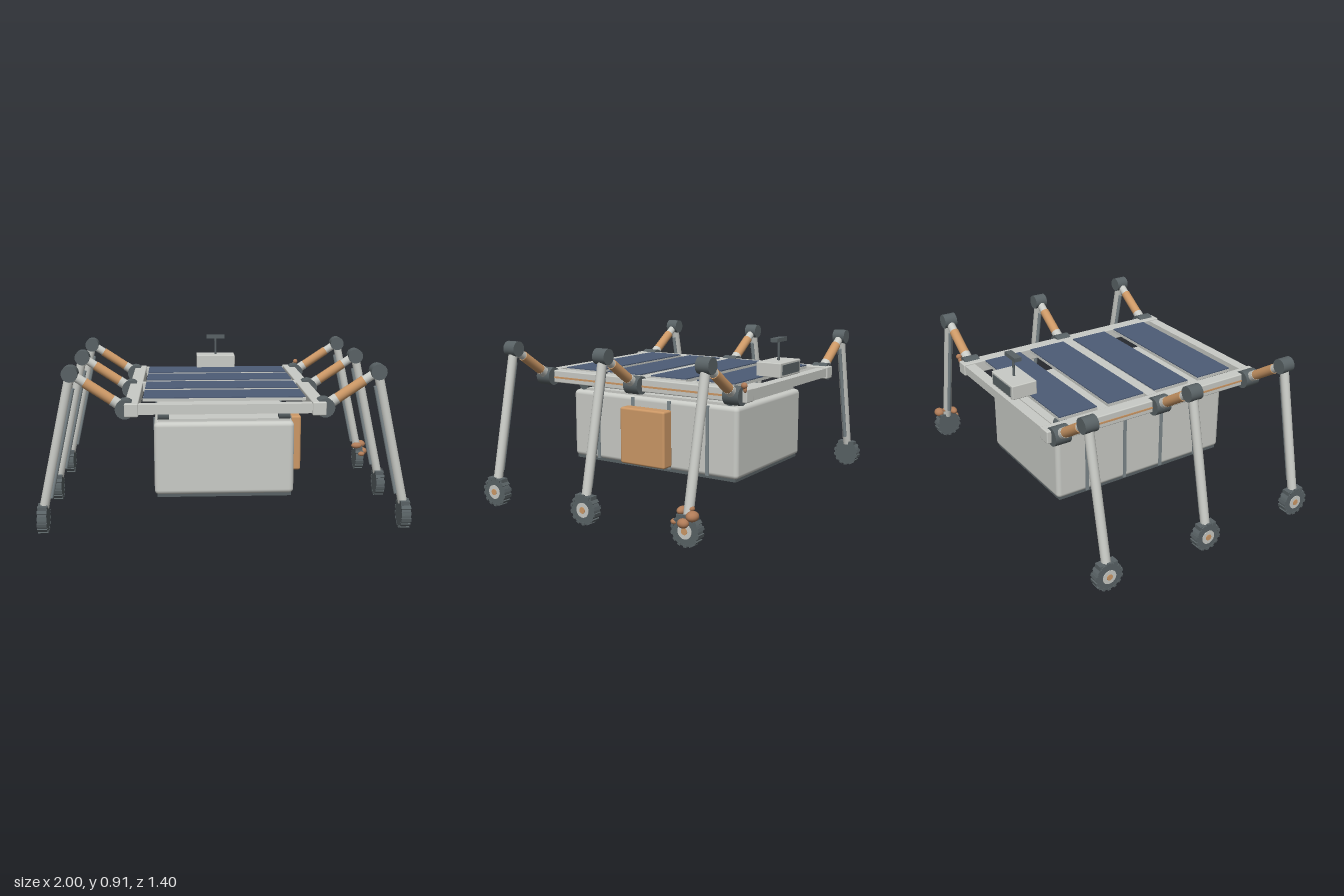
import * as THREE from 'three';
import { RoundedBoxGeometry } from 'three/addons/geometries/RoundedBoxGeometry.js';

const mat = (name, color) => {
  const m = new THREE.MeshStandardMaterial({ color });
  m.name = name;
  return m;
};

export function createModel() {
  const shell = mat('light grey shell', 0xc9cbc6);
  const dark = mat('dark grey joints', 0x596265);
  const steel = mat('steel trim', 0x7d888c);
  const orange = mat('orange accent', 0xcc9866);
  const navy = mat('navy solar cells', 0x4d5c76);
  const mud = mat('brown clay', 0xb07c58);

  const model = new THREE.Group();
  model.name = 'sixLeggedRover';
  const rig = new THREE.Group();
  rig.name = 'rover';
  rig.position.x = -0.0175;
  model.add(rig);

  const add = (parent, name, geo, material, x = 0, y = 0, z = 0) => {
    const m = new THREE.Mesh(geo, material);
    m.name = name;
    m.position.set(x, y, z);
    parent.add(m);
    return m;
  };
  const box = (parent, name, material, w, h, d, x, y, z, r = 0) =>
    add(parent, name, r ? new RoundedBoxGeometry(w, h, d, 3, r) : new THREE.BoxGeometry(w, h, d), material, x, y, z);
  // Cylinder lying along x or z
  const barrel = (parent, name, material, axis, r, len, x, y, z, seg = 24) => {
    const geo = new THREE.CylinderGeometry(r, r, len, seg);
    if (axis === 'x') geo.rotateZ(Math.PI / 2);
    else geo.rotateX(Math.PI / 2);
    return add(parent, name, geo, material, x, y, z);
  };
  // Cylinder covering part t0..t1 of the line a-b
  const up = new THREE.Vector3(0, 1, 0);
  const rod = (parent, name, material, a, b, t0, t1, r) => {
    const p = a.clone().lerp(b, t0), q = a.clone().lerp(b, t1);
    const m = add(parent, name, new THREE.CylinderGeometry(r, r, p.distanceTo(q), 20), material);
    m.position.copy(p).add(q).multiplyScalar(0.5);
    m.quaternion.setFromUnitVectors(up, q.sub(p).normalize());
    return m;
  };

  // Upper frame
  for (const s of [-1, 1]) {
    box(rig, 'sideRail', shell, 0.072, 0.07, 1.38, s * 0.483, 0.665, 0, 0.006);
    box(rig, 'railStripe', orange, 0.006, 0.01, 1.15, s * 0.52, 0.66, 0);
    box(rig, 'endBeam', shell, 0.9, 0.05, 0.06, 0, 0.667, s * 0.653);
  }
  box(rig, 'middleBeam', shell, 0.9, 0.05, 0.06, 0, 0.675, 0);

  // Solar panels
  for (let i = 0; i < 4; i++) {
    const z = -0.451 + i * 0.298;
    box(rig, 'panelBacking', shell, 0.856, 0.016, 0.23, 0, 0.695, z);
    box(rig, 'solarPanel', navy, 0.852, 0.006, 0.228, 0, 0.706, z);
  }

  // Hanging cargo body with side straps
  box(rig, 'cargoBody', shell, 0.746, 0.395, 1.11, 0, 0.374, 0, 0.025);
  box(rig, 'cargoLid', shell, 0.7, 0.02, 1.04, 0, 0.575, 0);
  box(rig, 'cargoFloor', dark, 0.72, 0.02, 1.08, 0, 0.173, 0);
  for (const s of [-1, 1]) {
    for (const z of [-0.37, -0.123, 0.123, 0.37])
      box(rig, 'cargoStrap', steel, 0.008, 0.385, 0.02, s * 0.374, 0.373, z);
    for (const z of [-0.495, 0.495])
      barrel(rig, 'hangerDamper', dark, 'x', 0.034, 0.06, s * 0.322, 0.606, z);
  }
  box(rig, 'sidePack', orange, 0.08, 0.32, 0.298, 0.424, 0.36, 0, 0.012);

  // Instrument box with a rear window and mast
  box(rig, 'instrumentBox', shell, 0.244, 0.08, 0.148, 0, 0.745, -0.598, 0.005);
  box(rig, 'instrumentWindow', dark, 0.2, 0.055, 0.008, 0, 0.745, -0.672);
  add(rig, 'mast', new THREE.CylinderGeometry(0.007, 0.007, 0.11, 12), dark, 0, 0.838, -0.597);
  box(rig, 'mastHead', dark, 0.116, 0.022, 0.04, 0, 0.899, -0.597);

  // Lugged wheel with the hub on its outer side
  const makeWheel = (parent, s, z) => {
    const wheel = new THREE.Group();
    wheel.name = 'wheel';
    wheel.position.set(s * 0.956, 0.08, z);
    parent.add(wheel);
    barrel(wheel, 'tyre', dark, 'x', 0.074, 0.048, 0, 0, 0, 28);
    for (let i = 0; i < 14; i++) {
      const a = (i / 14) * Math.PI * 2;
      const lug = box(wheel, 'tyreLug', dark, 0.052, 0.014, 0.018, 0, Math.cos(a) * 0.073, Math.sin(a) * 0.073);
      lug.rotation.x = a;
    }
    barrel(wheel, 'hub', shell, 'x', 0.039, 0.006, s * 0.024, 0, 0);
    barrel(wheel, 'hubCap', orange, 'x', 0.017, 0.006, s * 0.027, 0, 0);
  };

  // Six legs
  for (const s of [-1, 1]) for (const z of [-0.62, 0, 0.62]) {
    const leg = new THREE.Group();
    leg.name = 'leg';
    rig.add(leg);
    const hip = new THREE.Vector3(s * 0.517, 0.665, z);
    const knee = new THREE.Vector3(s * 0.793, 0.848, z);
    const foot = new THREE.Vector3(s * 0.95, 0.14, z);
    barrel(leg, 'hipJoint', dark, 'z', 0.05, 0.092, hip.x, hip.y, z);
    barrel(leg, 'kneeJoint', dark, 'z', 0.042, 0.075, knee.x, knee.y, z);
    rod(leg, 'upperArm', shell, hip, knee, 0, 1, 0.024);
    rod(leg, 'armCollar', shell, hip, knee, 0.1, 0.24, 0.029);
    rod(leg, 'armSleeve', orange, hip, knee, 0.24, 0.74, 0.0275);
    rod(leg, 'lowerLeg', shell, knee, foot, 0, 1, 0.025);
    // Thin damper running along the inner side
    const inward = new THREE.Vector3(-s * 0.026, -0.006, 0);
    rod(leg, 'legDamper', steel, knee.clone().add(inward), foot.clone().add(inward), 0.1, 0.92, 0.011);
    box(leg, 'wheelMount', dark, 0.046, 0.03, 0.105, s * 0.953, 0.14, z);
    makeWheel(leg, s, z);
  }

  // Clay lumps on the rear left wheel and a small one on the frame corner: position, radii
  const lumps = [
    [0.96, 0.16, -0.662, 0.036, 0.026, 0.031],
    [0.922, 0.168, -0.58, 0.036, 0.02, 0.023],
    [0.925, 0.185, -0.634, 0.018, 0.015, 0.017],
    [0.95, 0.116, -0.555, 0.022, 0.015, 0.019],
    [0.972, 0.122, -0.617, 0.027, 0.024, 0.03],
    [0.515, 0.722, -0.682, 0.015, 0.016, 0.017],
    [0.505, 0.702, -0.682, 0.01, 0.018, 0.01],
  ];
  for (const [x, y, z, a, b, c] of lumps)
    add(model, 'clayLump', new THREE.SphereGeometry(1, 18, 12), mud, x, y, z).scale.set(a, b, c);

  return model;
}
